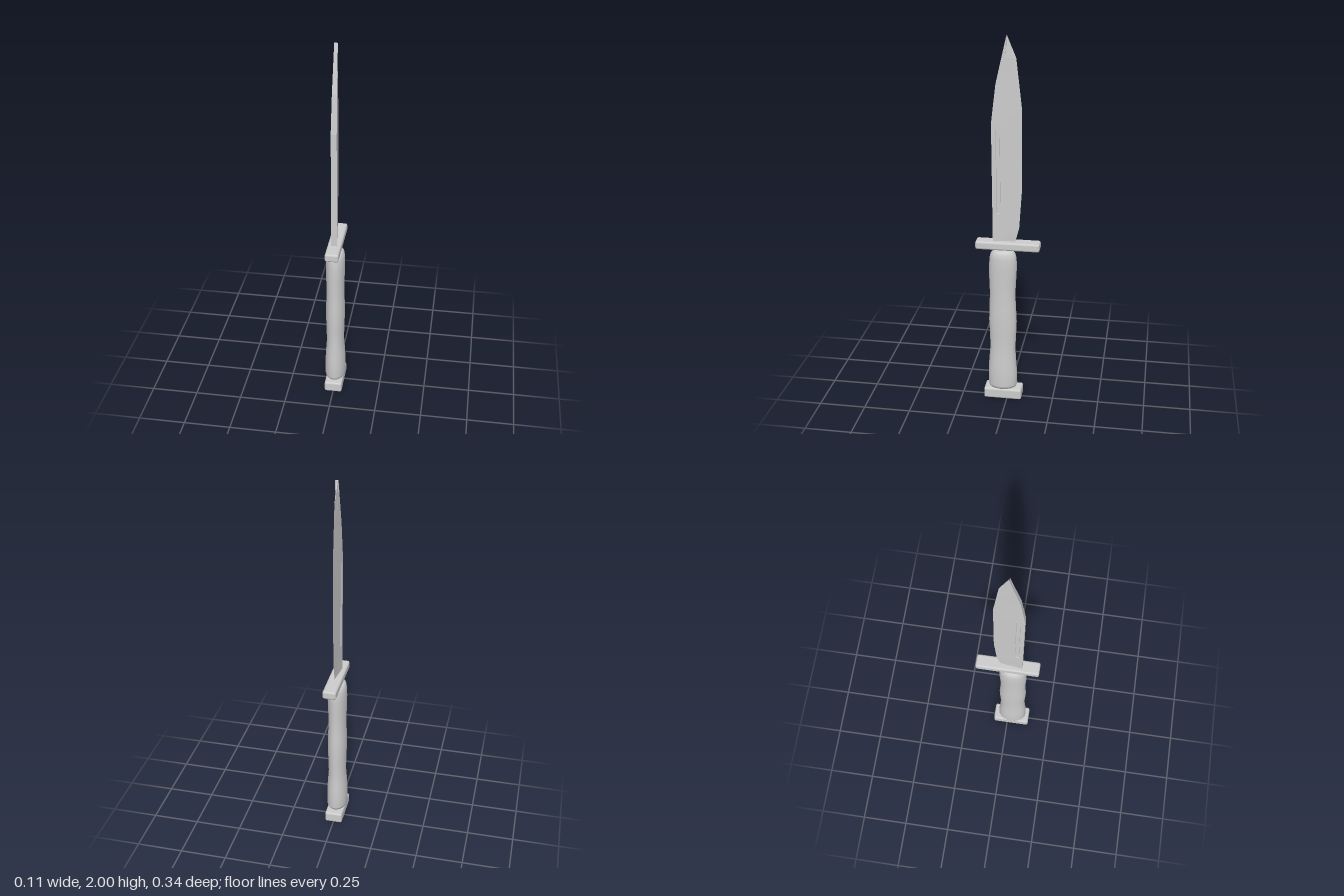
import * as THREE from 'three';
import { RoundedBoxGeometry } from 'three/addons/geometries/RoundedBoxGeometry.js';

// Skin a stack of closed rings, each a list of [x, y, z] running from +x towards +z
function loft(rings) {
  const n = rings[0].length, index = [];
  for (let i = 0; i < rings.length - 1; i++) {
    for (let j = 0; j < n; j++) {
      const k = (j + 1) % n, a = i * n + j, b = i * n + k;
      index.push(a, a + n, b, b, a + n, b + n);
    }
  }
  const geo = new THREE.BufferGeometry();
  geo.setAttribute('position', new THREE.Float32BufferAttribute(rings.flat(2), 3));
  geo.setIndex(index);
  geo.computeVertexNormals();
  return geo;
}

// Linear lookup in a list of [y, value]
function along(list, y) {
  for (let i = 1; i < list.length; i++) {
    const [y0, v0] = list[i - 1], [y1, v1] = list[i];
    if (y <= y1) return v0 + (v1 - v0) * (y - y0) / (y1 - y0);
  }
  return list[list.length - 1][1];
}

// Wedge blade: thick spine at +z, sharp edge at -z, shallow groove on both faces
function bladeGeometry() {
  const spine = [[0.9, 0.077], [1.56, 0.083], [1.76, 0.06], [2, 0.006]];
  const edge = [[0.9, -0.04], [0.93, -0.042], [1.0, -0.06], [1.2, -0.073], [1.64, -0.071], [1.89, -0.042], [2, 0.004]];
  const thick = [[0.9, 0.0145], [1.56, 0.015], [2, 0.009]];
  const rows = [0.9, 0.93, 1.0, 1.08, 1.081, 1.2, 1.549, 1.55, 1.56, 1.64, 1.76, 1.89, 2];
  const rings = rows.map((y) => {
    const zs = along(spine, y), ze = along(edge, y), w = along(thick, y);
    const depth = y > 1.0805 && y < 1.5495 ? 0.003 : 0;
    const side = [[0.72, 0], [0.73, depth], [0.85, depth], [0.86, 0], [1, 0]]
      .map(([t, d]) => [w * t - d, y, ze + (zs - ze) * t]);
    return [[0, y, ze], ...side, ...side.map(([x, h, z]) => [-x, h, z]).reverse()];
  });
  const geo = loft(rings).toNonIndexed();
  geo.computeVertexNormals();
  return geo;
}

// Oval grip with gentle finger swells: rows of [y, half width, back z, front z]
function gripGeometry() {
  const rows = [
    [0.05, 0, 0.025, 0.025], [0.052, 0.035, -0.02, 0.08], [0.065, 0.052, -0.046, 0.1],
    [0.08, 0.056, -0.053, 0.106], [0.15, 0.056, -0.052, 0.106], [0.22, 0.053, -0.047, 0.103],
    [0.3, 0.047, -0.042, 0.096], [0.38, 0.049, -0.046, 0.098], [0.46, 0.051, -0.049, 0.102],
    [0.54, 0.05, -0.045, 0.1], [0.62, 0.047, -0.041, 0.097], [0.7, 0.049, -0.045, 0.1],
    [0.78, 0.051, -0.049, 0.101], [0.83, 0.05, -0.047, 0.097], [0.858, 0.046, -0.039, 0.09],
    [0.868, 0.036, -0.024, 0.074], [0.875, 0.02, -0.008, 0.056], [0.876, 0, 0.024, 0.024],
  ];
  const sides = 20;
  return loft(rows.map(([y, rx, z0, z1]) => Array.from({ length: sides }, (_, j) => {
    const a = j / sides * Math.PI * 2;
    return [Math.cos(a) * rx, y, (z0 + z1) / 2 + Math.sin(a) * (z1 - z0) / 2];
  })));
}

export function createModel() {
  const group = new THREE.Group();
  const grey = new THREE.MeshStandardMaterial({ color: 0xcccccc });
  grey.name = 'light grey';
  const add = (name, geo, y = 0, z = 0) => {
    const mesh = new THREE.Mesh(geo, grey);
    mesh.name = name;
    mesh.position.set(0, y, z);
    group.add(mesh);
  };

  add('blade', bladeGeometry());
  add('guard', new RoundedBoxGeometry(0.072, 0.045, 0.34, 2, 0.011), 0.9025, -0.001);
  add('tang', new THREE.BoxGeometry(0.03, 0.06, 0.06), 0.87, 0.024);
  add('grip', gripGeometry());
  add('pommel', new RoundedBoxGeometry(0.096, 0.06, 0.206, 2, 0.011), 0.03, 0.023);
  return group;
}
